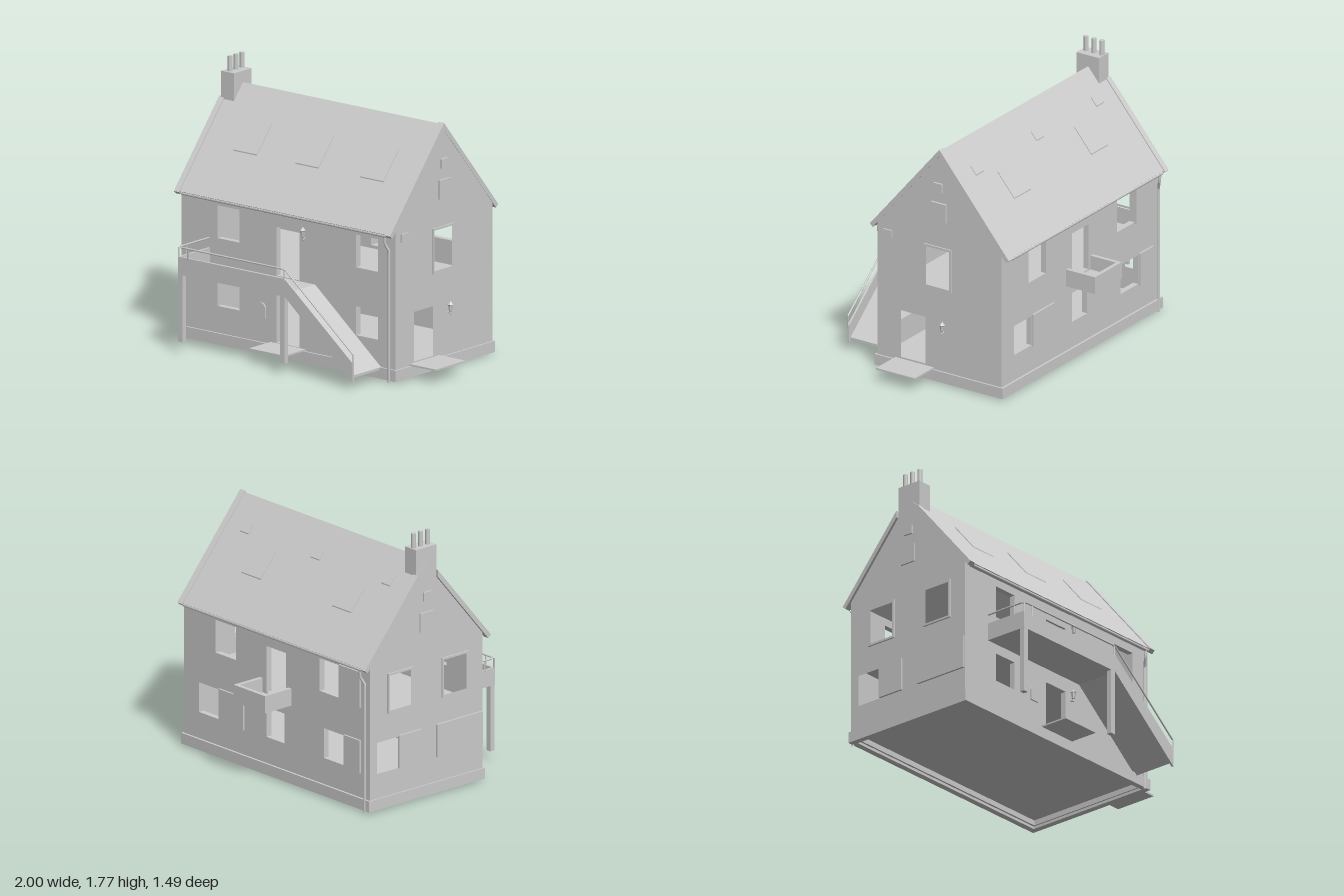
import * as THREE from 'three';

const stone = new THREE.MeshStandardMaterial({ color: 0xcccccc });
stone.name = 'pale grey';

export function createModel() {
  const house = new THREE.Group();
  house.name = 'house';

  const add = (name, geo, parent = house) => {
    const m = new THREE.Mesh(geo, stone);
    m.name = name;
    parent.add(m);
    return m;
  };
  // box from its bounds
  const box = (name, x0, x1, y0, y1, z0, z1) => {
    const g = new THREE.BoxGeometry(x1 - x0, y1 - y0, z1 - z0);
    g.translate((x0 + x1) / 2, (y0 + y1) / 2, (z0 + z1) / 2);
    return add(name, g);
  };
  const rect = ([a, b, y0, y1]) => [[a, y0], [b, y0], [b, y1], [a, y1]];
  const shapeOf = (pts, holes, s) => {
    const v = (p) => p.map(([a, y]) => new THREE.Vector2(a * s, y));
    const shape = new THREE.Shape(v(pts));
    for (const h of holes) shape.holes.push(new THREE.Path(v(rect(h))));
    return shape;
  };
  // outline in (x, y), extruded along z
  const alongZ = (name, pts, z0, z1, holes = []) => {
    const g = new THREE.ExtrudeGeometry(shapeOf(pts, holes, 1), { depth: z1 - z0, bevelEnabled: false });
    return add(name, g.translate(0, 0, z0));
  };
  // outline in (z, y), extruded along x
  const alongX = (name, pts, x0, x1, holes = []) => {
    const g = new THREE.ExtrudeGeometry(shapeOf(pts, holes, -1), { depth: x1 - x0, bevelEnabled: false });
    return add(name, g.rotateY(Math.PI / 2).translate(x0, 0, 0));
  };
  const tube = (name, pts, r) => {
    const path = new THREE.CurvePath();
    const v = pts.map((p) => new THREE.Vector3(...p));
    for (let i = 1; i < v.length; i++) path.add(new THREE.LineCurve3(v[i - 1], v[i]));
    return add(name, new THREE.TubeGeometry(path, 48, r, 8));
  };

  const ridgeZ = -0.043;
  const roofY = (z) => 1.6 - Math.abs(z - ridgeZ) * 1.19;

  // long walls with window and door openings: [x0, x1, y0, y1]
  const wall = [-0.983, 0.785, 0.03, 0.97];
  alongZ('frontWall', rect(wall), 0.395, 0.435, [
    [-0.685, -0.505, 0.705, 0.92], [-0.2, -0.01, 0.54, 0.86], [0.46, 0.64, 0.705, 0.92],
    [-0.685, -0.505, 0.26, 0.45], [-0.2, -0.01, 0.1, 0.42], [0.46, 0.64, 0.26, 0.45],
  ]);
  alongZ('backWall', rect(wall), -0.522, -0.482, [
    [-0.7, -0.505, 0.7, 0.92], [-0.185, 0, 0.56, 0.87], [0.29, 0.485, 0.7, 0.92],
    [-0.74, -0.545, 0.26, 0.46], [-0.17, 0, 0.26, 0.46], [0.45, 0.645, 0.26, 0.46],
  ]);

  // gable walls: holes are [z0, z1, y0, y1]
  const gable = [[0.435, 0.03], [0.435, roofY(0.435) - 0.01], [ridgeZ, 1.59], [-0.522, roofY(-0.522) - 0.01], [-0.522, 0.03]];
  const rightUpper = [[-0.36, -0.17, 0.65, 0.89], [0.1, 0.3, 0.65, 0.89]];
  alongX('leftGable', gable, 0.745, 0.785, [[-0.125, 0.062, 0.655, 0.925], [0.06, 0.255, 0.1, 0.43]].map(
    ([a, b, c, d], i) => (i ? [a + 0.004, b, c, d] : [a, b - 0.002, c, d])));
  alongX('rightGable', gable, -0.983, -0.943, [...rightUpper, [-0.46, -0.28, 0.25, 0.46]]);

  // raised frames round the gable windows
  const frame = ([z0, z1, y0, y1], x0, x1) => alongX('gableWindowFrame',
    rect([z0 - 0.014, z1 + 0.014, y0 - 0.014, y1 + 0.014]), x0, x1, [[z0, z1, y0, y1]]);
  frame([-0.125, 0.06, 0.655, 0.925], 0.78, 0.795);
  for (const w of rightUpper) frame(w, -0.994, -0.98);

  // floors and plinth
  box('groundFloor', -0.96, 0.76, 0.065, 0.095, -0.5, 0.41);
  box('upperFloor', -0.96, 0.76, 0.52, 0.54, -0.5, 0.41);
  const plinthX = [-0.993, 0.797];
  box('frontPlinth', ...plinthX, 0.012, 0.085, 0.41, 0.448);
  box('backPlinth', ...plinthX, 0.012, 0.085, -0.537, -0.495);
  box('rightPlinth', -0.993, -0.95, 0.012, 0.085, -0.495, 0.41);
  box('leftPlinth', 0.755, 0.797, 0.012, 0.085, -0.495, 0.41);

  // one roof slope, cut square at the eaves; d0 and d1 are distances from the ridge
  const slope = (name, side, d0, d1, lift, t, x0, x1) => {
    const y = (d) => 1.6 + lift - d * 1.19;
    const pts = [[d0, y(d0)], [d1, y(d1)], [d1 - 0.765 * t, y(d1) - 0.643 * t], [d0, y(d0) - t / 0.643]];
    alongX(name, pts.map(([d, h]) => [ridgeZ + side * d, h]), x0, x1);
  };
  for (const side of [1, -1]) {
    slope('roof', side, 0, 0.526, 0, 0.017, -0.96, 0.745);
    slope('rightVerge', side, 0.085, 0.536, 0.01, 0.03, -1, -0.958);
    slope('leftVerge', side, 0, 0.536, 0.01, 0.03, 0.742, 0.787);
  }

  // roof windows: thin raised panels lying on the slopes
  const roofPanel = (x0, x1, z0, z1) => alongX('roofWindow', [
    [z0, roofY(z0) - 0.01], [z1, roofY(z1) - 0.01], [z1, roofY(z1) + 0.008], [z0, roofY(z0) + 0.008]], x0, x1);
  for (const x of [-0.7, -0.19, 0.345]) roofPanel(x, x + 0.193, 0.105, 0.26);
  for (const x of [-0.63, 0.23]) roofPanel(x, x + 0.185, -0.365, -0.235);
  for (const x of [-0.82, -0.15, 0.525]) roofPanel(x, x + 0.085, -0.205, -0.16);

  // chimney and pots
  box('chimney', -0.98, -0.875, 1.49, 1.675, -0.127, 0.047);
  for (const z of [-0.107, -0.047, 0.013]) {
    add('chimneyPot', new THREE.CylinderGeometry(0.016, 0.016, 0.105, 12)).position.set(-0.935, 1.7225, z);
  }

  // gutters and downpipes
  for (const z of [0.472, -0.56]) tube('gutter', [[-0.95, 0.962, z], [0.742, 0.962, z]], 0.011);
  tube('frontDownpipe', [[0.725, 0.955, 0.472], [0.725, 0.91, 0.468], [0.742, 0.86, 0.448], [0.742, 0, 0.448]], 0.009);
  tube('backDownpipe', [[-0.93, 0.955, -0.56], [-0.93, 0.91, -0.555], [-0.95, 0.86, -0.535], [-0.95, 0, -0.535]], 0.009);

  // small vents and cabinet on the gables
  for (const [x0, x1] of [[0.78, 0.8], [-0.995, -0.98]]) {
    box('upperVent', x0, x1, 1.32, 1.38, -0.07, -0.005);
    box('lowerVent', x0, x1, 1.12, 1.245, -0.1, 0.015);
  }
  box('gableCabinet', 0.78, 0.796, 0.91, 0.965, 0.32, 0.385);

  // sliding shutters
  for (const [x0, x1, y0, y1] of [[-0.9, -0.7, 0.69, 0.93], [-0.9, -0.745, 0.25, 0.47], [0.21, 0.445, 0.25, 0.47]]) {
    box('backShutter', x0, x1, y0, y1, -0.535, -0.515);
  }
  box('gableShutter', -0.997, -0.98, 0.25, 0.47, -0.28, -0.09);
  box('gableShutter', -0.997, -0.98, 0.25, 0.47, 0.04, 0.43);

  // back balcony
  box('balconyFloor', -0.235, 0.065, 0.53, 0.55, -0.745, -0.52);
  box('balconyFront', -0.235, 0.065, 0.55, 0.645, -0.745, -0.718);
  box('balconySide', -0.235, -0.207, 0.55, 0.645, -0.718, -0.52);
  box('balconySide', 0.037, 0.065, 0.55, 0.645, -0.718, -0.52);

  // door steps
  box('frontStep', -0.25, 0.04, 0.086, 0.097, 0.435, 0.645);
  box('sideStep', 0.785, 1, 0.086, 0.097, 0, 0.297);

  // raised walkway sunk behind its fascia, stair and posts
  box('walkwayDeck', -0.75, 0.12, 0.515, 0.535, 0.435, 0.725);
  box('walkwayFascia', -0.762, 0.12, 0.515, 0.632, 0.725, 0.738);
  box('walkwayEnd', -0.762, -0.748, 0.515, 0.632, 0.435, 0.725);
  for (const x of [-0.76, 0.082]) box('walkwayPost', x, x + 0.036, 0.075, 0.52, 0.702, 0.737);
  alongZ('stairRamp', [[0.12, 0.535], [0.665, 0.085], [0.665, 0.068], [0.12, 0.515]], 0.435, 0.725);
  alongZ('stairStringer', [[0.12, 0.632], [0.683, 0.172], [0.683, 0.05], [0.12, 0.515]], 0.725, 0.738);

  // handrail
  const rz = 0.735;
  tube('handrail', [[-0.758, 0.695, 0.435], [-0.758, 0.695, rz], [0.12, 0.695, rz], [0.68, 0.235, rz]], 0.006);
  for (const [x, y, z] of [[-0.758, 0.63, rz], [-0.68, 0.63, rz], [0.115, 0.63, rz], [0.68, 0.17, rz], [-0.758, 0.63, 0.655]]) {
    tube('railPost', [[x, y - 0.01, z], [x, y + 0.065, z]], 0.005);
  }

  // arched panel
  const arch = [[-0.355, 0.245], [-0.285, 0.245]];
  for (let i = 0; i <= 10; i++) {
    const a = (i / 10) * Math.PI;
    arch.push([-0.32 + 0.035 * Math.cos(a), 0.31 + 0.035 * Math.sin(a)]);
  }
  alongZ('archPanel', arch, 0.43, 0.446);

  // wall lanterns
  const lantern = (x, y, z, turn) => {
    const g = new THREE.Group();
    g.name = 'wallLantern';
    const profile = [[0, -0.045], [0.006, -0.04], [0.006, -0.025], [0.01, -0.02], [0.017, 0.018],
      [0.02, 0.022], [0.008, 0.036], [0, 0.045]].map(([r, h]) => new THREE.Vector2(r, h));
    add('lanternBody', new THREE.LatheGeometry(profile, 6).toNonIndexed(), g).geometry.computeVertexNormals();
    add('lanternBracket', new THREE.BoxGeometry(0.007, 0.007, 0.03), g).position.set(0, -0.033, -0.015);
    g.position.set(x, y, z);
    g.rotation.y = turn;
    house.add(g);
  };
  lantern(0.035, 0.4, 0.46, 0);
  lantern(0.04, 0.86, 0.46, 0);
  lantern(0.808, 0.395, -0.08, Math.PI / 2);

  return house;
}
